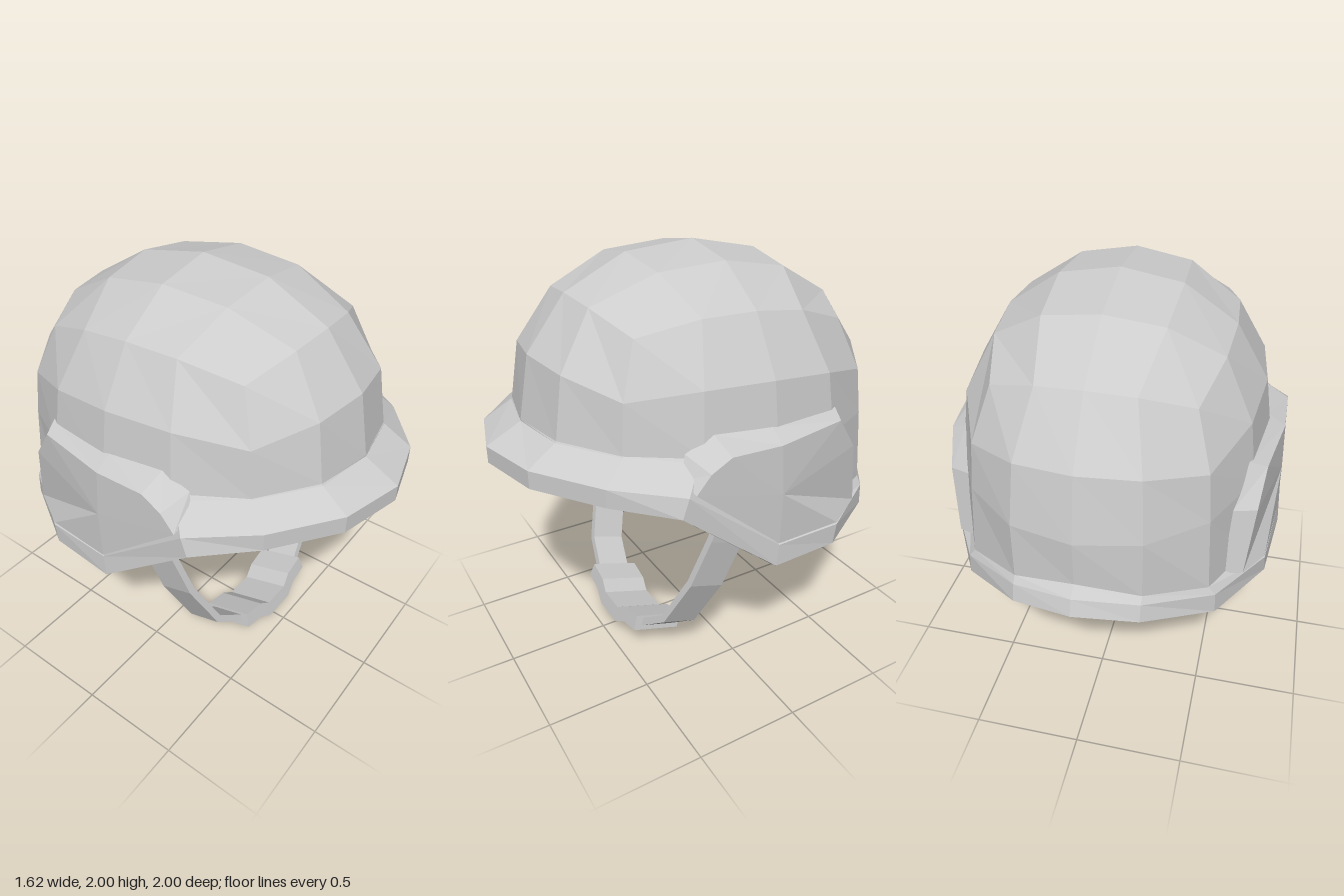
import * as THREE from 'three';

const material = new THREE.MeshStandardMaterial({ color: 0xcccccc, flatShading: true, side: THREE.DoubleSide });
const T = Math.tan(Math.PI / 8);

// --- mesh helpers: triangle lists built from loops of points ---
function quad(out, a, b, c, d) { out.push(a, b, c, a, c, d); }

function loft(out, rings) {
  for (let i = 0; i + 1 < rings.length; i++) {
    const r = rings[i], s = rings[i + 1], n = r.length;
    for (let k = 0; k < n; k++) quad(out, r[k], s[k], s[(k + 1) % n], r[(k + 1) % n]);
  }
}

function cap(out, ring, centre, flip) {
  ring.forEach((p, k) => {
    const q = ring[(k + 1) % ring.length];
    if (flip) out.push(centre, p, q); else out.push(centre, q, p);
  });
}

function mesh(name, tris) {
  const geometry = new THREE.BufferGeometry().setFromPoints(tris);
  geometry.computeVertexNormals();
  const m = new THREE.Mesh(geometry, material);
  m.name = name;
  return m;
}

const V = (x, y, z) => new THREE.Vector3(x, y, z);
const average = (ring) => ring.reduce((s, p) => s.add(p), V(0, 0, 0)).divideScalar(ring.length);

// --- dome: a cube direction pushed onto a slightly boxy, tilted ellipsoid ---
function domePoint(x, y, z, scale) {
  const p = 2.15;
  const len = Math.pow(Math.abs(x) ** p + Math.abs(y) ** p + Math.abs(z) ** p, 1 / p);
  const pz = (0.88 * scale * z) / len;
  return V((0.72 * scale * x) / len, 1.24 + (0.765 * scale * y) / len + 0.07 * pz, pz - 0.045);
}

function domeRing(height, scale) {
  return Array.from({ length: 16 }, (_, k) => {
    const a = (k * Math.PI) / 8, s = Math.sin(a), c = Math.cos(a);
    const m = Math.max(Math.abs(s), Math.abs(c));
    return domePoint(s / m, height, c / m, scale);
  });
}

function crown(out, scale, inward) {
  const t = [-1, -T, 0, T, 1];
  for (let i = 0; i < 4; i++) for (let j = 0; j < 4; j++) {
    const g = (u, v) => domePoint(t[u], 1, t[v], scale);
    const c = [g(i, j), g(i, j + 1), g(i + 1, j + 1), g(i + 1, j)];
    if (inward) c.reverse();
    quad(out, ...c);
  }
}

// half outline from front to back, mirrored into a 16-point ring
function mirrorRing(half) {
  const right = half.slice(1, -1).reverse().map(([x, y, z]) => [-x, y, z]);
  return [...half, ...right].map((p) => V(...p));
}

const rimTop = mirrorRing([
  [0, 1.295, 0.835], [0.28, 1.29, 0.785], [0.53, 1.28, 0.59], [0.685, 1.255, 0.33], [0.725, 0.86, -0.03],
  [0.69, 0.83, -0.38], [0.54, 0.85, -0.7], [0.28, 0.91, -0.875], [0, 0.96, -0.92]]);
const rimUpper = mirrorRing([
  [0, 1.21, 1], [0.3, 1.205, 0.92], [0.58, 1.19, 0.7], [0.78, 1.17, 0.43], [0.797, 0.81, -0.02],
  [0.765, 0.785, -0.38], [0.57, 0.81, -0.7], [0.28, 0.88, -0.9], [0, 0.925, -0.975]]);
const rimLower = mirrorRing([
  [0, 1.13, 1], [0.3, 1.12, 0.92], [0.58, 1.105, 0.7], [0.78, 1.08, 0.46], [0.81, 0.715, 0],
  [0.77, 0.69, -0.36], [0.575, 0.71, -0.7], [0.28, 0.8, -0.92], [0, 0.85, -1]]);
const inset = (ring, s, dy) => ring.map((p) => V(p.x * s, p.y + dy, p.z * s));
const rimUnder = inset(rimLower, 0.94, -0.015);
const rimInner = inset(rimLower, 0.86, 0.025);

// --- ear pads: bevelled panels, points as [z, y, x] ---
const padBase = [
  [0.41, 1.2, 0.68], [0.37, 1.29, 0.64], [0.25, 1.36, 0.665], [-0.02, 1.345, 0.7], [-0.41, 1.33, 0.645],
  [-0.53, 1.15, 0.6], [-0.59, 0.83, 0.565], [-0.39, 0.8, 0.69], [-0.02, 0.82, 0.72]];
const padFace = [
  [0.4, 1.175, 0.785], [0.33, 1.25, 0.782], [0.23, 1.3, 0.78], [-0.02, 1.29, 0.78], [-0.38, 1.3, 0.725],
  [-0.49, 1.14, 0.705], [-0.55, 0.825, 0.675], [-0.38, 0.795, 0.763], [-0.02, 0.82, 0.798]];

function earPad(name, side) {
  const loop = (points) => {
    const r = points.map(([z, y, x]) => V(side * x, y, z));
    return side < 0 ? r.reverse() : r;
  };
  const out = [], face = loop(padFace);
  loft(out, [loop(padBase), face]);
  cap(out, face, V(side * 0.792, 1.06, -0.03));
  return mesh(name, out);
}

// --- straps: a flat bar swept along a leaning path given by [x, y] ---
function band(name, half, halfWidth, halfThick) {
  const path = [...half, ...half.slice().reverse().map(([x, y]) => [-x, y])]
    .map(([x, y]) => V(x, y, 0.36 - 0.33 * y));
  const w = V(0, 0.313, 0.95);
  const rings = path.map((p, i) => {
    const dir = path[Math.min(i + 1, path.length - 1)].clone().sub(path[Math.max(i - 1, 0)]);
    const n = dir.normalize().cross(w).normalize();
    return [[1, 1], [1, -1], [-1, -1], [-1, 1]].map(([a, b]) =>
      p.clone().addScaledVector(w, a * halfWidth).addScaledVector(n, b * halfThick));
  });
  const out = [];
  loft(out, rings);
  const last = rings[rings.length - 1];
  cap(out, rings[0], average(rings[0]), true);
  cap(out, last, average(last));
  return mesh(name, out);
}

export function createModel() {
  const model = new THREE.Group();
  model.name = 'helmet';

  // outer shell
  const shell = [];
  crown(shell, 1, false);
  loft(shell, [domeRing(1, 1), domeRing(T, 1), domeRing(0, 1), rimTop]);
  model.add(mesh('shell', shell));

  // brim running round the edge
  const rim = [];
  loft(rim, [rimTop, rimUpper, rimLower, rimUnder, rimInner]);
  model.add(mesh('rim', rim));

  // inside surface
  const liner = [];
  loft(liner, [rimInner, domeRing(0, 0.93), domeRing(T, 0.93), domeRing(1, 0.93)]);
  crown(liner, 0.93, true);
  model.add(mesh('liner', liner));

  model.add(earPad('leftEarPad', 1), earPad('rightEarPad', -1));

  // chin strap and cup
  model.add(band('chinStrap', [[0.615, 1.13], [0.57, 0.75], [0.525, 0.51], [0.415, 0.26], [0.25, 0.14], [0.08, 0.085]], 0.09, 0.018));
  model.add(band('chinCup', [[0.265, 0.145], [0.15, 0.125], [0.08, 0.082]], 0.13, 0.038));
  return model;
}
